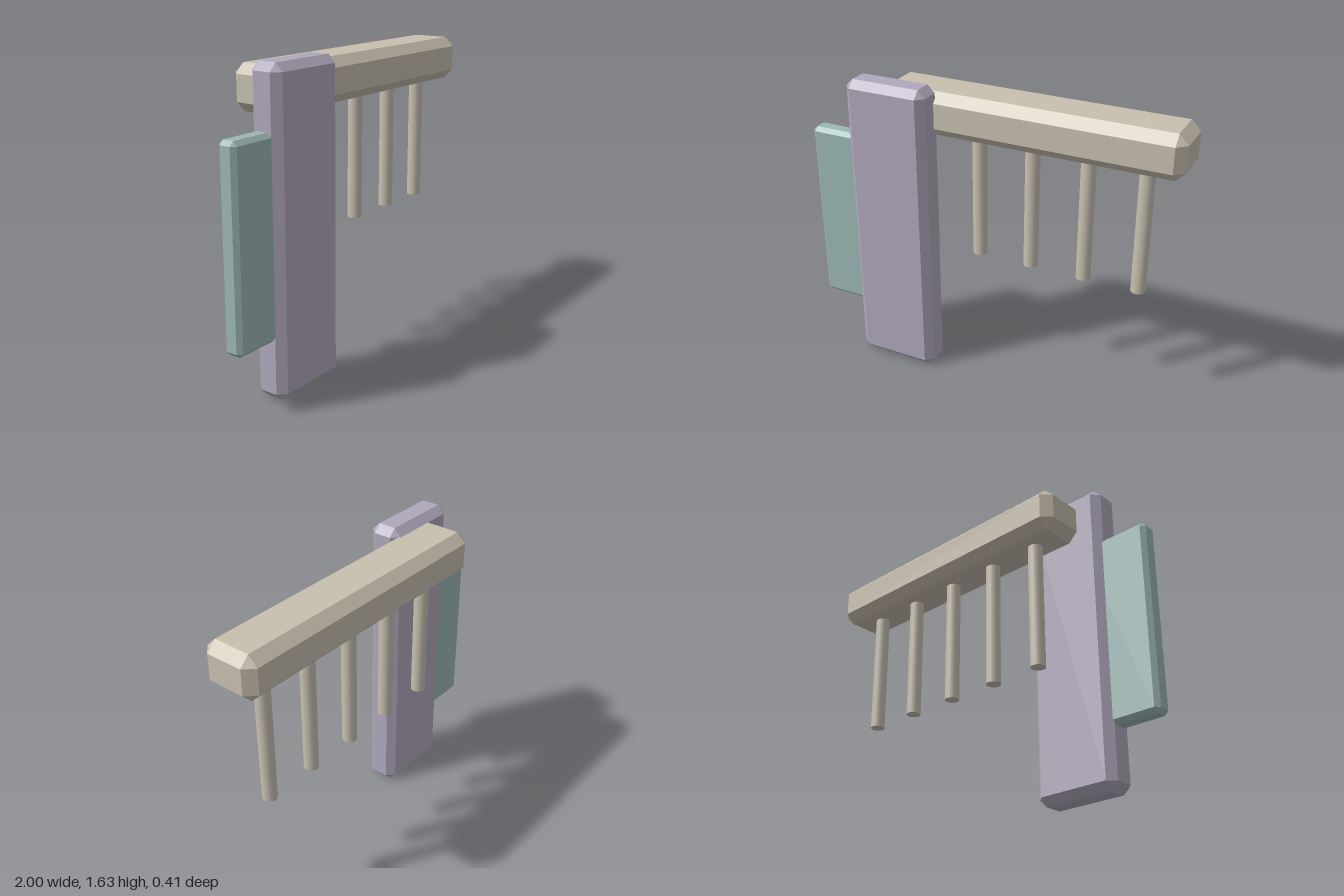
import * as THREE from 'three';
import { ConvexGeometry } from 'three/addons/geometries/ConvexGeometry.js';

const stone = new THREE.MeshStandardMaterial({ name: 'warm stone', color: 0xc8c0b0 });
const mauve = new THREE.MeshStandardMaterial({ name: 'grey mauve', color: 0xb0a8bc });
const sage = new THREE.MeshStandardMaterial({ name: 'grey green', color: 0x9cb8b4 });

// Box between two corners, with every edge cut by a flat chamfer c
function chamferedBox(name, min, max, c, material) {
  const centre = min.map((v, i) => (v + max[i]) / 2);
  const half = max.map((v, i) => v - centre[i]);
  const points = [];
  for (const sx of [-1, 1]) for (const sy of [-1, 1]) for (const sz of [-1, 1]) {
    for (let outer = 0; outer < 3; outer++) {
      const [x, y, z] = half.map((h, i) => (i === outer ? h : h - c));
      points.push(new THREE.Vector3(sx * x, sy * y, sz * z));
    }
  }
  const mesh = new THREE.Mesh(new ConvexGeometry(points), material);
  mesh.position.set(...centre);
  mesh.name = name;
  return mesh;
}

export function createModel() {
  const model = new THREE.Group();
  model.name = 'slabWithBeam';

  // Upright slab, side panel set into it, and the beam crossing behind
  model.add(
    chamferedBox('uprightSlab', [-0.755, 0, 0.03], [-0.295, 1.635, 0.207], 0.04, mauve),
    chamferedBox('sidePanel', [-1, 0.313, 0.065], [-0.62, 1.325, 0.168], 0.022, sage),
    chamferedBox('crossBeam', [-0.62, 1.36, -0.207], [1, 1.595, 0.09], 0.05, stone)
  );

  // Row of round pegs hanging from the beam
  const pegs = new THREE.Group();
  pegs.name = 'hangingPegs';
  const pegGeometry = new THREE.CylinderGeometry(0.039, 0.039, 0.73, 20);
  for (let i = 0; i < 5; i++) {
    const peg = new THREE.Mesh(pegGeometry, stone);
    peg.name = 'peg';
    peg.position.set(-0.411 + i * 0.3005, 1.034, -0.058);
    pegs.add(peg);
  }
  model.add(pegs);

  return model;
}
